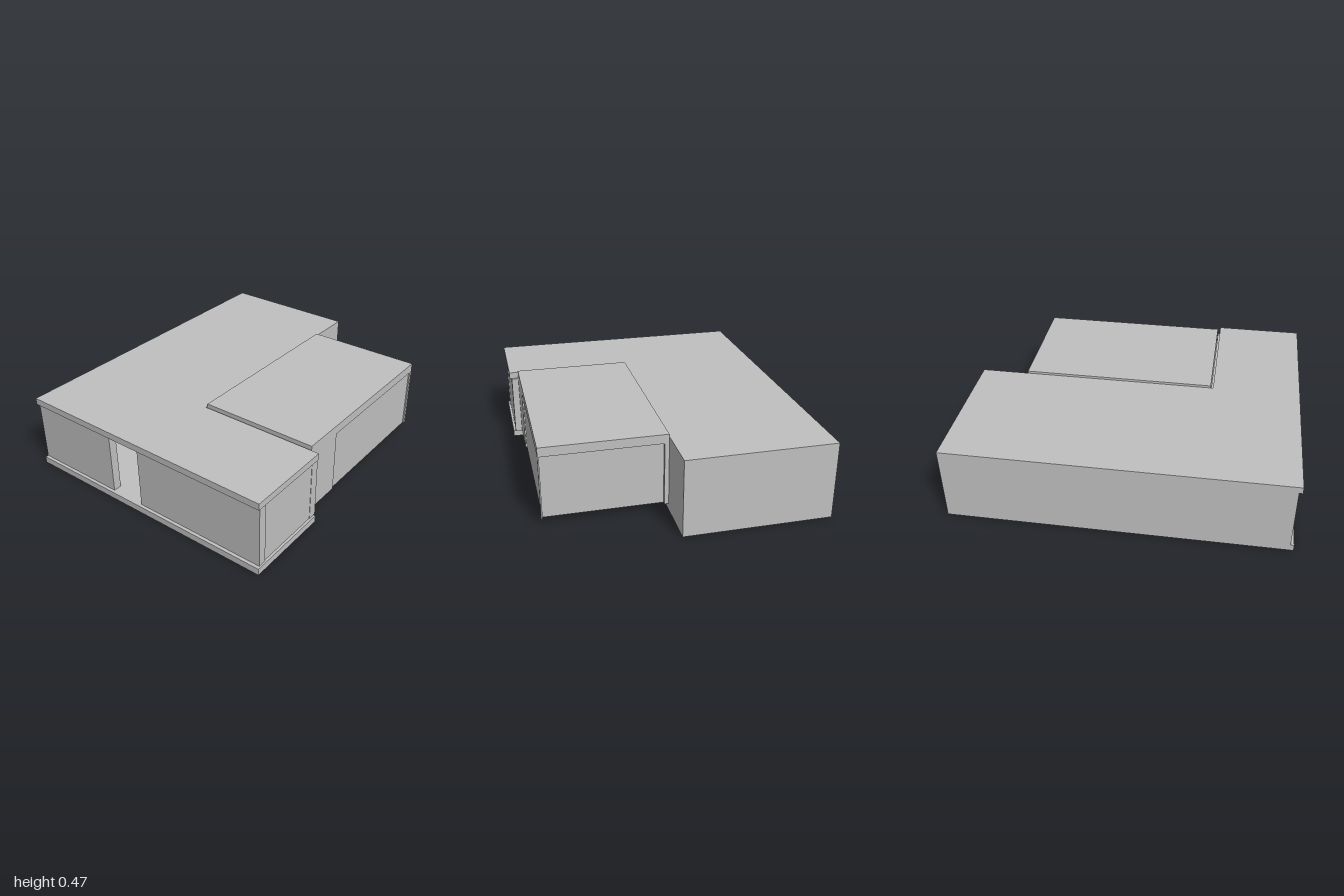
import * as THREE from 'three';

export function createModel() {
  const model = new THREE.Group();
  model.name = 'flatRoofHouse';
  const plaster = new THREE.MeshStandardMaterial({ color: 0xc0c0c0 });
  plaster.name = 'light grey plaster';

  // Box given by its extents on each axis
  const block = (name, [x0, x1], [y0, y1], [z0, z1]) => {
    const mesh = new THREE.Mesh(new THREE.BoxGeometry(x1 - x0, y1 - y0, z1 - z0), plaster);
    mesh.position.set((x0 + x1) / 2, (y0 + y1) / 2, (z0 + z1) / 2);
    mesh.name = name;
    model.add(mesh);
  };

  // L-shaped plate, used for the floor and the main roof
  const outline = [[-1, -0.82], [1, -0.82], [1, 0.045], [-0.47, 0.045], [-0.47, 0.82], [-1, 0.82]];
  const plate = (name, y0, y1) => {
    const shape = new THREE.Shape(outline.map(([x, z]) => new THREE.Vector2(x, -z)));
    const geometry = new THREE.ExtrudeGeometry(shape, { depth: y1 - y0, bevelEnabled: false });
    geometry.rotateX(-Math.PI / 2);
    const mesh = new THREE.Mesh(geometry, plaster);
    mesh.position.y = y0;
    mesh.name = name;
    model.add(mesh);
  };
  plate('floorSlab', 0, 0.04);
  plate('mainRoof', 0.42, 0.46);

  // Walls of the main block and side wing, with a doorway in the -x side
  const storey = [0.04, 0.42];
  block('backWall', [-0.98, 1], storey, [-0.82, -0.77]);
  block('rightEndWall', [0.95, 1], storey, [-0.77, 0.045]);
  block('sideWallBack', [-0.98, -0.93], storey, [-0.77, -0.235]);
  block('sideWallFront', [-0.98, -0.93], storey, [-0.02, 0.81]);
  block('crossWall', [-0.93, 0.95], storey, [0.0, 0.045]);
  block('wingFrontWall', [-0.97, -0.46], storey, [0.755, 0.805]);
  block('wingInnerWall', [-0.51, -0.457], storey, [0.045, 0.807]);

  // Raised front room: roof, solid panel, recessed walls and slim posts
  block('frontRoomRoof', [-0.455, 0.71], [0.42, 0.475], [0.045, 0.765]);
  block('frontRoomPanel', [-0.455, -0.2], storey, [0.045, 0.765]);
  block('frontRoomRecessedWalls', [-0.2, 0.69], storey, [0.045, 0.757]);
  block('frontRoomCornerPost', [0.69, 0.71], storey, [0.757, 0.765]);
  block('frontRoomRearPost', [0.69, 0.71], storey, [0.045, 0.07]);

  return model;
}
